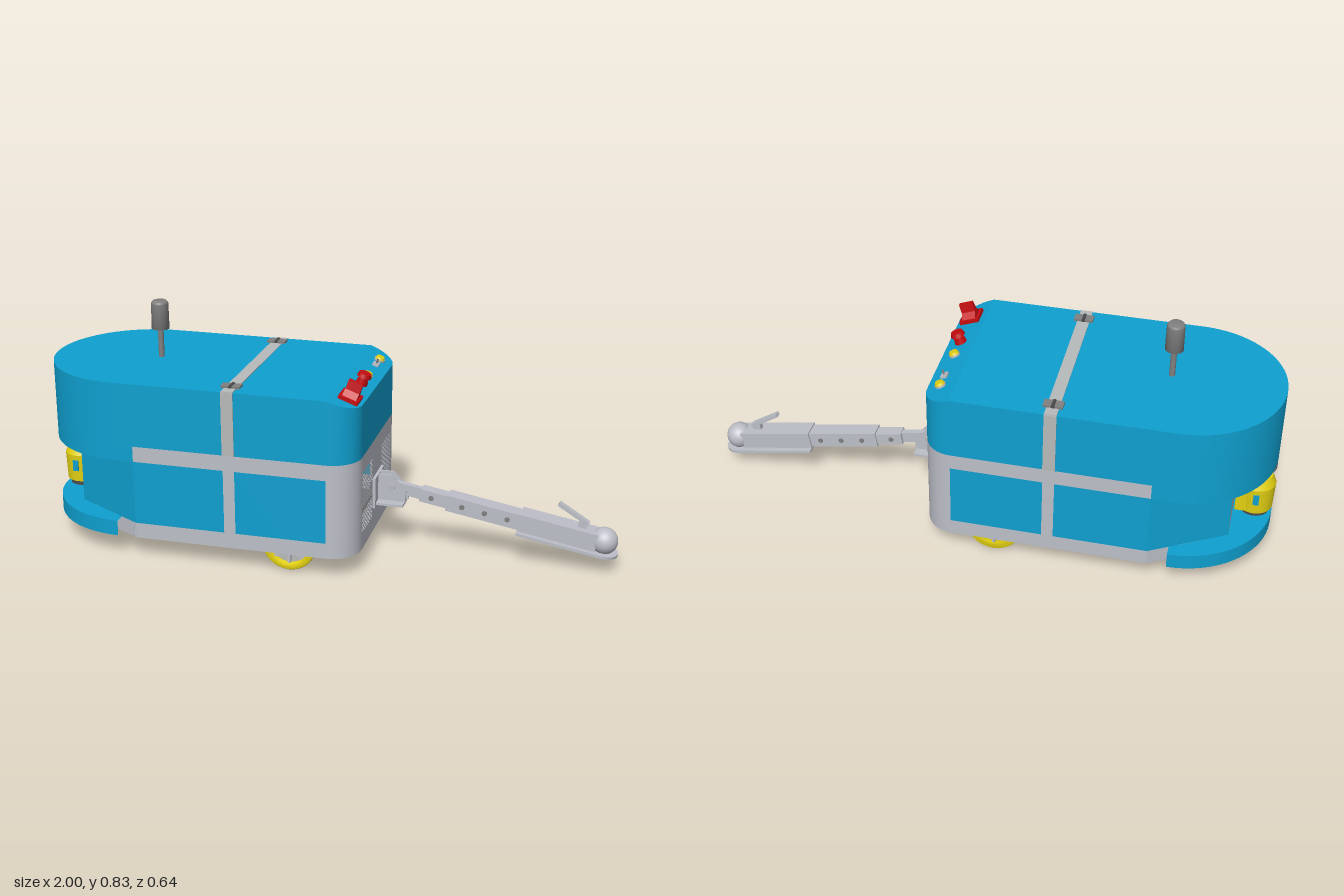
import * as THREE from 'three';

const mat = (name, color, side = THREE.FrontSide) => {
  const m = new THREE.MeshStandardMaterial({ color, side });
  m.name = name;
  return m;
};

export function createModel() {
  const root = new THREE.Group();
  root.name = 'towingRobot';
  const blue = mat('blue', 0x0fa0d0, THREE.DoubleSide);
  const silver = mat('silver', 0xbdbfc8, THREE.DoubleSide);
  const tape = mat('tapeGrey', 0xb8bbbb);
  const grey = mat('midGrey', 0x808080);
  const dark = mat('darkGrey', 0x4c4c4e);
  const red = mat('red', 0xc40c10);
  const yellow = mat('yellow', 0xe2d012);

  const add = (name, geo, material, x = 0, y = 0, z = 0, parent = root) => {
    const m = new THREE.Mesh(geo, material);
    m.name = name;
    m.position.set(x, y, z);
    parent.add(m);
    return m;
  };
  const group = (name, x, y, z, parent = root) => {
    const g = new THREE.Group();
    g.name = name;
    g.position.set(x, y, z);
    parent.add(g);
    return g;
  };
  const box = (name, w, h, d, material, x, y, z, parent) =>
    add(name, new THREE.BoxGeometry(w, h, d), material, x, y, z, parent);
  const cyl = (name, r0, r1, h, material, x, y, z, parent) =>
    add(name, new THREE.CylinderGeometry(r0, r1, h, 32), material, x, y, z, parent);
  const axle = (...a) => { const m = cyl(...a); m.rotation.x = Math.PI / 2; return m; };

  // Plan-view outline pieces, as [x, z]
  const arc = (cx, cz, r, a0, a1, n) => Array.from({ length: n + 1 }, (_, i) => {
    const a = (a0 + (a1 - a0) * i / n) * Math.PI;
    return [cx + r * Math.cos(a), cz + r * Math.sin(a)];
  });
  const W = 0.317, NX = -0.673, SX = -0.605, TOP = 0.632;
  const nose = arc(NX, 0, W, 0.5, 1.5, 48);
  const cornerR = arc(0.07, -0.217, 0.1, -0.5, 0, 12);
  const cornerL = arc(0.07, 0.217, 0.1, 0, 0.5, 12);
  const topY = x => TOP - Math.max(0, x - 0.07) * 0.37;

  // Vertical sheet following a plan path
  const wall = (name, pts, y0, y1, material) => {
    const pos = [], idx = [];
    pts.forEach(([x, z], i) => {
      pos.push(x, y0, z, x, typeof y1 === 'function' ? y1(x) : y1, z);
      if (i) idx.push(2 * i - 2, 2 * i - 1, 2 * i, 2 * i, 2 * i - 1, 2 * i + 1);
    });
    const g = new THREE.BufferGeometry();
    g.setAttribute('position', new THREE.Float32BufferAttribute(pos, 3));
    g.setIndex(idx);
    g.computeVertexNormals();
    // make the winding agree with the outward direction
    const [x, z] = pts[pts.length >> 1], n = g.attributes.normal, k = (pts.length >> 1) * 2;
    if (n.getX(k) * (x + 0.3) + n.getZ(k) * z < 0) {
      g.setIndex(idx.reverse());
      g.computeVertexNormals();
    }
    return add(name, g, material);
  };
  // Horizontal sheet, with its height given by a rule
  const sheet = (name, pts, yAt, material) => {
    const g = new THREE.ShapeGeometry(new THREE.Shape(pts.map(([x, z]) => new THREE.Vector2(x, -z))));
    g.rotateX(-Math.PI / 2);
    const p = g.attributes.position;
    for (let i = 0; i < p.count; i++) p.setY(i, yAt(p.getX(i)));
    g.computeVertexNormals();
    return add(name, g, material);
  };

  // Upper cover
  wall('coverWall', [...nose, ...cornerR, ...cornerL, nose[0]], 0.41, topY, blue);
  wall('coverNoseSkirt', [[SX, W], ...nose, [SX, -W]], 0.355, 0.41, blue);
  sheet('coverTop', [...nose, [0.07, -W], [0.07, W]], topY, blue);
  sheet('controlSlope', [...cornerR, ...cornerL], topY, blue);

  // Lower skin, angled nose panels and bumper
  wall('cornerSkin', cornerR, 0.075, 0.41, silver);
  wall('cornerSkin', cornerL, 0.075, 0.41, silver);
  for (const s of [1, -1]) {
    const z = s * W;
    const side = (name, x0, x1, y0, y1, m) => wall(name, [[x0, z], [(x0 + x1) / 2, z], [x1, z]], y0, y1, m);
    side('lowerRailSkin', SX, 0.07, 0.075, 0.13, silver);
    side('upperRailSkin', SX, 0.07, 0.355, 0.41, silver);
    side('sidePanel', SX, -0.285, 0.13, 0.355, blue);
    side('sidePanel', -0.245, 0.07, 0.13, 0.355, blue);
    side('sidePost', -0.285, -0.245, 0.13, 0.355, silver);
    box('sideTape', 0.042, TOP - 0.41, 0.006, tape, -0.265, (TOP + 0.41) / 2, z);
    wall('nosePanel', [[SX, z], [-0.73, s * 0.245], [-0.86, s * 0.17]], 0.13, 0.42, blue);
    wall('noseRailSkin', [[SX, z], [-0.73, s * 0.245], [-0.86, s * 0.17]], 0.075, 0.13, silver);
    box('nosePost', 0.03, 0.3, 0.03, silver, -0.84, 0.25, s * 0.14);
  }
  wall('noseBackPlate', [[-0.86, 0.17], [-0.86, 0], [-0.86, -0.17]], 0.11, 0.42, silver);
  wall('bumperWall', nose, 0.075, 0.13, blue);
  sheet('bumperTop', [...nose, [NX, -0.278], [-0.86, -0.17], [-0.86, 0.17], [NX, 0.278]], () => 0.13, blue);
  box('topTape', 0.042, 0.006, 2 * W, tape, -0.265, TOP, 0);

  // Rear plate with two perforated grilles
  const plate = new THREE.Shape([[-0.217, 0.075], [0.217, 0.075], [0.217, 0.41], [-0.217, 0.41]]
    .map(p => new THREE.Vector2(...p)));
  for (const s of [1, -1]) for (let r = 0; r < 23; r++) for (let c = 0; c < 13; c++) {
    const h = new THREE.Path();
    const cx = s * (0.072 + c * 0.011 + (r % 2) * 0.0055), cy = 0.138 + r * 0.0095;
    h.setFromPoints(Array.from({ length: 6 }, (_, i) => new THREE.Vector2(
      cx + 0.0041 * Math.cos(i * Math.PI / 3), cy - 0.0041 * Math.sin(i * Math.PI / 3))));
    plate.holes.push(h);
  }
  add('perforatedRearPlate', new THREE.ShapeGeometry(plate), silver, 0.17).rotation.y = Math.PI / 2;

  // Chassis frame, open underneath
  const beam = (x0, z0, x1, z1) => {
    const b = box('chassisBeam', Math.hypot(x1 - x0, z1 - z0), 0.035, 0.035, silver,
      (x0 + x1) / 2, 0.0935, (z0 + z1) / 2);
    b.rotation.y = -Math.atan2(z1 - z0, x1 - x0);
  };
  for (const s of [1, -1]) {
    beam(-0.61, s * 0.298, 0.08, s * 0.298);
    beam(-0.61, s * 0.295, -0.84, s * 0.16);
    beam(-0.4, s * 0.18, 0.14, s * 0.18);
  }
  for (const x of [0.14, -0.19, -0.4]) beam(x, -0.21, x, 0.21);
  for (const x of [-0.19, -0.4]) beam(x, -0.3, x, 0.3);
  beam(-0.84, -0.16, -0.84, 0.16);
  box('deck', 0.5, 0.012, 0.36, grey, -0.13, 0.125, 0);
  box('driveMount', 0.05, 0.008, 0.285, dark, -0.4, 0.071, 0.028);

  // Drive wheel with motor and gearbox
  const drive = group('driveWheel', -0.54, 0.112, 0);
  axle('driveTyre', 0.112, 0.112, 0.104, red, 0, 0, 0, drive);
  axle('driveHub', 0.088, 0.088, 0.116, grey, 0, 0, 0, drive);
  axle('motor', 0.07, 0.07, 0.07, grey, 0, 0.01, -0.085, drive);
  axle('motorCap', 0.035, 0.035, 0.02, dark, 0, 0.01, -0.125, drive);
  axle('gearbox', 0.045, 0.05, 0.09, silver, 0, 0.01, 0.1, drive);

  // Rear wheels with spokes
  for (const s of [1, -1]) {
    const w = group('rearWheel', -0.07, 0.094, s * 0.258);
    const ring = [[0.07, -0.024], [0.09, -0.024], [0.094, -0.018], [0.094, 0.018], [0.09, 0.024], [0.07, 0.024], [0.07, -0.024]];
    add('rearTyre', new THREE.LatheGeometry(ring.map(p => new THREE.Vector2(...p)), 40), yellow, 0, 0, 0, w).rotation.x = Math.PI / 2;
    axle('rearWeb', 0.071, 0.071, 0.012, tape, 0, 0, 0, w);
    axle('rearHub', 0.022, 0.022, 0.05, yellow, 0, 0, 0, w);
    for (let i = 0; i < 4; i++) box('spoke', 0.142, 0.01, 0.036, silver, 0, 0, 0, w).rotation.z = i * Math.PI / 4;
    box('wheelBracket', 0.04, 0.06, 0.012, grey, 0, 0.03, -s * 0.036, w);
  }

  // Nose scanner
  const scan = group('scanner', -0.93, 0, 0);
  cyl('scannerFoot', 0.05, 0.05, 0.02, dark, 0, 0.14, 0, scan);
  cyl('scannerBody', 0.064, 0.06, 0.1, yellow, 0, 0.198, 0, scan);
  box('scannerBack', 0.06, 0.12, 0.11, yellow, 0.034, 0.21, 0, scan);
  cyl('scannerShoulder', 0.05, 0.064, 0.032, yellow, 0, 0.264, 0, scan);
  cyl('scannerWindow', 0.056, 0.038, 0.035, dark, 0, 0.2975, 0, scan);
  cyl('scannerCap', 0.06, 0.06, 0.025, grey, 0, 0.3275, 0, scan);
  for (const s of [1, -1]) box('scannerLabel', 0.02, 0.04, 0.006, blue, -0.005, 0.21, s * 0.064, scan);

  // Beacon mast
  cyl('mast', 0.01, 0.01, 0.11, grey, -0.61, 0.685, 0);
  add('beacon', new THREE.LatheGeometry([[0, 0], [0.031, 0], [0.03, 0.09], [0.029, 0.094], [0.024, 0.1], [0, 0.1]]
    .map(p => new THREE.Vector2(...p)), 32), grey, -0.61, 0.735, 0);

  // Cover hinges
  for (const s of [1, -1]) {
    const h = group('hinge', -0.265, 0.638, s * 0.262);
    box('hingeLeaf', 0.066, 0.008, 0.036, grey, 0, 0, 0, h);
    axle('hingePin', 0.006, 0.006, 0.038, dark, 0, 0.002, 0, h);
  }

  // Controls on the sloped panel
  const panel = group('controls', 0.125, topY(0.125), 0);
  panel.rotation.z = -Math.atan(0.37);
  box('switchBase', 0.07, 0.014, 0.076, red, 0, 0.005, 0.212, panel);
  const grip = new THREE.Shape([[-0.03, 0], [0.03, 0], [0.011, 0.02], [0.007, 0.052], [-0.007, 0.052], [-0.011, 0.02]]
    .map(p => new THREE.Vector2(...p)));
  add('switchGrip', new THREE.ExtrudeGeometry(grip, { depth: 0.05, bevelEnabled: false }), red, -0.025, 0.011, 0.212, panel).rotation.y = Math.PI / 2;
  cyl('stopCollar', 0.019, 0.021, 0.016, red, 0, 0.008, 0.055, panel);
  cyl('stopStem', 0.013, 0.015, 0.014, red, 0, 0.022, 0.055, panel);
  cyl('stopButton', 0.021, 0.025, 0.014, red, 0, 0.035, 0.055, panel);
  for (const z of [-0.028, -0.212]) {
    cyl('lampBezel', 0.019, 0.019, 0.007, silver, 0, 0.0035, z, panel);
    cyl('lamp', 0.014, 0.018, 0.009, yellow, 0, 0.011, z, panel);
  }
  box('toggleBase', 0.022, 0.008, 0.028, silver, 0, 0.004, -0.156, panel);
  cyl('toggle', 0.004, 0.003, 0.018, grey, 0, 0.015, -0.156, panel);

  // Hitch bracket
  box('hitchPlate', 0.01, 0.11, 0.13, silver, 0.175, 0.22, 0);
  box('hitchShelf', 0.1, 0.008, 0.11, silver, 0.225, 0.178, 0);
  const cheek = new THREE.Shape([[0, 0], [0.1, 0], [0.1, 0.045], [0.05, 0.1], [0, 0.1]].map(p => new THREE.Vector2(...p)));
  for (const z of [-0.022, 0.014]) add('hitchCheek', new THREE.ExtrudeGeometry(cheek, { depth: 0.008, bevelEnabled: false }), silver, 0.178, 0.176, z);
  axle('hitchPin', 0.01, 0.01, 0.06, tape, 0.23, 0.232, 0);

  // Drawbar sloping down to the ball coupler
  const bar = group('drawbar', 0.22, 0.232, 0);
  bar.rotation.z = -0.175;
  box('tongue', 0.16, 0.04, 0.022, silver, 0.06, 0, 0, bar);
  box('innerTube', 0.12, 0.045, 0.046, silver, 0.17, 0, 0, bar);
  box('outerTube', 0.3, 0.056, 0.06, silver, 0.355, 0, 0, bar);
  box('couplerChannel', 0.27, 0.066, 0.074, silver, 0.595, 0, 0, bar);
  box('couplerFlange', 0.29, 0.01, 0.112, silver, 0.605, -0.034, 0, bar);
  cyl('couplerLip', 0.056, 0.056, 0.01, silver, 0.752, -0.034, 0, bar);
  add('couplerBall', new THREE.SphereGeometry(0.047, 32, 20), silver, 0.752, 0.005, 0, bar);
  for (const x of [0.15, 0.26, 0.34, 0.42])
    axle('barBolt', 0.009, 0.009, x < 0.2 ? 0.052 : 0.066, grey, x, 0, 0, bar);
  box('leverPost', 0.03, 0.04, 0.02, silver, 0.67, 0.04, 0, bar);
  box('lever', 0.12, 0.012, 0.024, silver, 0.632, 0.073, 0, bar).rotation.z = -0.38;

  return root;
}
